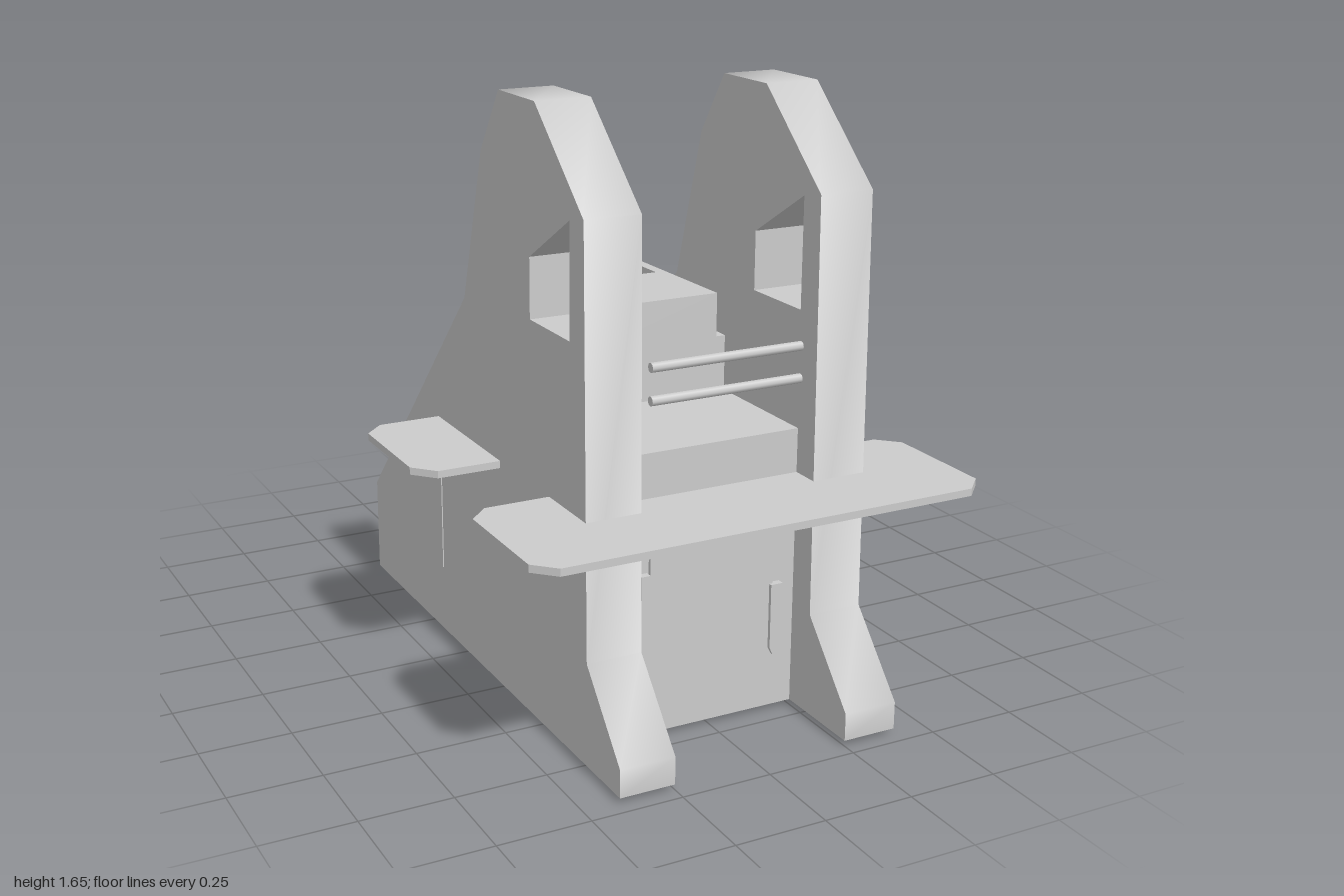
import * as THREE from 'three';
import { toCreasedNormals } from 'three/addons/utils/BufferGeometryUtils.js';

const grey = new THREE.MeshStandardMaterial({ color: 0xcccccc, side: THREE.DoubleSide });

const toShape = (pts) => new THREE.Shape(pts.map(([a, b]) => new THREE.Vector2(a, b)));

function add(parent, name, geometry) {
  const mesh = new THREE.Mesh(geometry, grey);
  mesh.name = name;
  parent.add(mesh);
}

// Side profile given as [z, y], extruded across x from x0 to x1
function sideSlab(profile, x0, x1, hole) {
  const shape = toShape(profile);
  if (hole) shape.holes.push(toShape(hole));
  const g = new THREE.ExtrudeGeometry(shape, { depth: x1 - x0, bevelEnabled: false });
  return g.rotateY(-Math.PI / 2).translate(x1, 0, 0);
}

// Drops the triangles lying on the floor, leaving a hollow shell
function openBottom(geometry) {
  const src = geometry.attributes.position;
  const kept = [];
  for (let i = 0; i < src.count; i += 3) {
    const corners = [i, i + 1, i + 2];
    if (corners.every((k) => src.getY(k) < 0.02)) continue;
    for (const k of corners) kept.push(src.getX(k), src.getY(k), src.getZ(k));
  }
  const g = new THREE.BufferGeometry();
  g.setAttribute('position', new THREE.Float32BufferAttribute(kept, 3));
  g.computeVertexNormals();
  return g;
}

// Plan outline given as [x, z], extruded upward from y0 to y1
function planSlab(outline, y0, y1) {
  const g = new THREE.ExtrudeGeometry(toShape(outline.map(([x, z]) => [x, -z])), { depth: y1 - y0, bevelEnabled: false });
  return g.rotateX(-Math.PI / 2).translate(0, y0, 0);
}

// Outline given as [x, y], extruded forward from z0 to z1
function frontSlab(outline, z0, z1) {
  return new THREE.ExtrudeGeometry(toShape(outline), { depth: z1 - z0, bevelEnabled: false }).translate(0, 0, z0);
}

// Six-sided rod between two [y, z] points in the plane of the given x
function rod(x, [y0, z0], [y1, z1], radius) {
  const g = new THREE.CylinderGeometry(radius, radius, Math.hypot(y1 - y0, z1 - z0), 6);
  return g.rotateX(Math.atan2(z1 - z0, y1 - y0)).translate(x, (y0 + y1) / 2, (z0 + z1) / 2);
}

// Ridged wedge foot, open below, lofted from five-point cross-sections
function wedgeFoot(x) {
  const h = 0.067;
  const sections = [[-0.765, 0.31, 0.32], [-0.93, 0.103, 0.165], [-1, 0.016, 0.018]];
  const pos = [];
  for (const [z, shoulder, ridge] of sections) {
    pos.push(x - h, 0.012, z, x + h, 0.012, z, x + h, shoulder, z, x, ridge, z, x - h, shoulder, z);
  }
  const idx = [0, 1, 2, 0, 2, 3, 0, 3, 4];
  for (let s = 0; s < 2; s++) {
    for (let i = 1; i < 5; i++) {
      const a = s * 5 + i, b = s * 5 + (i + 1) % 5;
      idx.push(a, a + 5, b, b, a + 5, b + 5);
    }
  }
  const g = new THREE.BufferGeometry();
  g.setAttribute('position', new THREE.Float32BufferAttribute(pos, 3));
  g.setIndex(idx);
  const flat = g.toNonIndexed();
  flat.computeVertexNormals();
  return flat;
}

export function createModel() {
  const model = new THREE.Group();
  model.name = 'tower';

  // Tall hollow side walls with a window, rear wing platforms and nearly flush hatches
  const wall = [[0.96, 0.015], [0.96, 0.09], [0.78, 0.295], [0.765, 1.41], [0.5, 1.65], [0.29, 1.65],
    [0.175, 1.48], [0.05, 1.06], [-0.68, 0.295], [-0.68, 0.015]];
  const windowHole = [[0.69, 1.395], [0.465, 1.26], [0.465, 1.1], [0.69, 1.1]];
  const hatch = [[-0.14, 0.21], [-0.14, 0.555], [-0.34, 0.555], [-0.435, 0.46], [-0.43, 0.21]];
  for (const s of [1, -1]) {
    const span = (a, b) => (s > 0 ? [a, b] : [-b, -a]);
    add(model, 'sideWall', toCreasedNormals(openBottom(sideSlab(wall, ...span(0.25, 0.403), windowHole)), 1));
    add(model, 'sideHatch', sideSlab(hatch, ...span(0.4, 0.406)));
    add(model, 'rearWing', planSlab([[0.4, -0.155], [0.58, -0.155], [0.635, -0.1], [0.635, 0.21],
      [0.58, 0.27], [0.4, 0.27]].map(([x, z]) => [s * x, z]), 0.645, 0.665));
  }

  // Hollow central body with a flat ledge in front and a ramp behind
  add(model, 'body', openBottom(sideSlab([[0.695, 0.015], [0.695, 0.785], [0.32, 0.785], [0.32, 0.94],
    [0, 0.94], [-0.46, 0.28], [-0.46, 0.015]], -0.25, 0.25)));

  // Front walkway platform
  add(model, 'frontPlatform', planSlab([[-0.58, 0.57], [0.58, 0.57], [0.635, 0.625], [0.635, 0.945],
    [0.58, 1], [-0.58, 1], [-0.635, 0.945], [-0.635, 0.625]], 0.645, 0.665));

  // Door with its hinge and latch
  add(model, 'door', frontSlab([[-0.17, 0.085], [0.18, 0.085], [0.18, 0.52], [0.125, 0.575],
    [-0.125, 0.575], [-0.185, 0.52], [-0.185, 0.2]], 0.69, 0.705));
  add(model, 'doorHinge', frontSlab([[-0.215, 0.065], [-0.17, 0.065], [-0.17, 0.17], [-0.162, 0.2],
    [-0.162, 0.41], [-0.19, 0.465], [-0.215, 0.465]], 0.69, 0.715));
  add(model, 'doorLatch', frontSlab([[0.18, 0.17], [0.205, 0.17], [0.205, 0.37], [0.17, 0.37], [0.17, 0.19]], 0.69, 0.715));

  // Guard rails between the walls
  for (const y of [0.94, 1.025]) {
    add(model, 'guardRail', new THREE.CylinderGeometry(0.013, 0.013, 0.43, 8).rotateZ(Math.PI / 2).translate(0, y, 0.75));
  }

  // Forked bracket holding the upper ends of the struts
  add(model, 'bracket', sideSlab([[0.33, 0.93], [0.33, 1.065], [0.04, 1.062], [0.04, 0.93]], -0.217, 0.217));
  add(model, 'bracketTongue', sideSlab([[0.04, 0.93], [0.04, 1.062], [-0.1, 1.06], [-0.06, 0.935]], -0.06, 0.06));
  for (const x of [-0.217, 0.187]) {
    add(model, 'bracketProng', sideSlab([[0.04, 0.93], [0.04, 1.062], [-0.155, 1.06], [-0.115, 0.935]], x, x + 0.03));
  }

  // Pair of sloping struts ending in wedge feet
  for (const x of [-0.127, 0.123]) {
    const strut = new THREE.Group();
    strut.name = 'strut';
    add(strut, 'strutHead', rod(x, [0.92, -0.078], [0.965, -0.03], 0.066));
    add(strut, 'strutRod', rod(x, [0.58, -0.41], [0.93, -0.07], 0.047));
    add(strut, 'strutSleeve', rod(x, [0.18, -0.805], [0.6, -0.388], 0.067));
    add(strut, 'strutFoot', wedgeFoot(x));
    add(strut, 'footSpike', new THREE.ConeGeometry(0.05, 0.012, 4, 1, true).rotateX(Math.PI).translate(x, 0.006, -0.88));
    model.add(strut);
  }
  return model;
}
